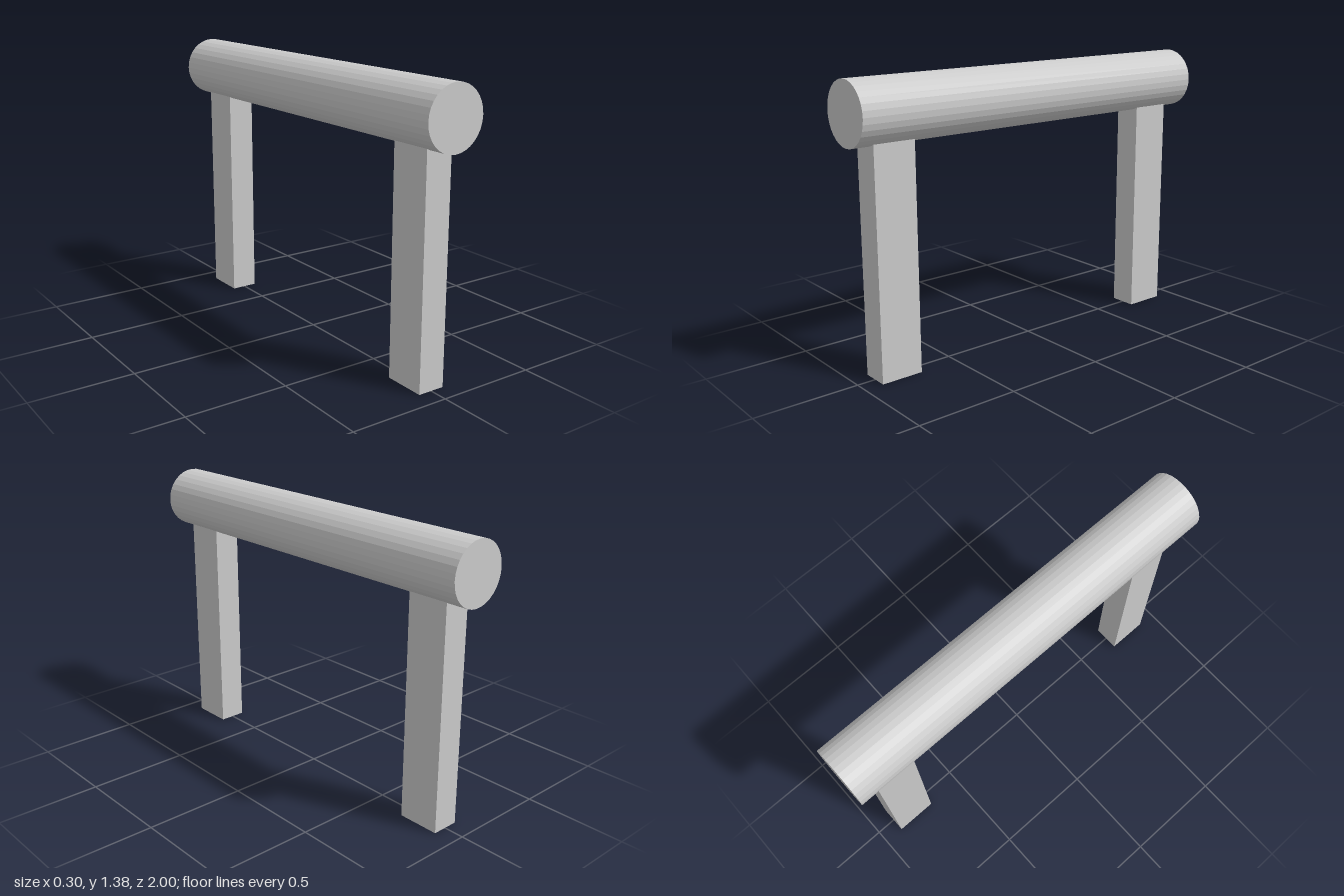
import * as THREE from 'three';

export function createModel() {
  const group = new THREE.Group();
  const material = new THREE.MeshStandardMaterial({ color: 0xcccccc, flatShading: true });

  // Round beam lying along z
  const radius = 0.149;
  const beamY = 1.232;
  const beam = new THREE.Mesh(new THREE.CylinderGeometry(radius, radius, 2, 32), material);
  beam.name = 'beam';
  beam.rotation.x = Math.PI / 2;
  beam.position.y = beamY;
  group.add(beam);

  // Square posts, their tops sunk into the beam
  const postHeight = 1.14;
  const posts = { frontPost: 0.804, backPost: -0.794 };
  for (const [name, z] of Object.entries(posts)) {
    const post = new THREE.Mesh(new THREE.BoxGeometry(0.136, postHeight, 0.209), material);
    post.name = name;
    post.position.set(0, postHeight / 2, z);
    group.add(post);
  }

  return group;
}
